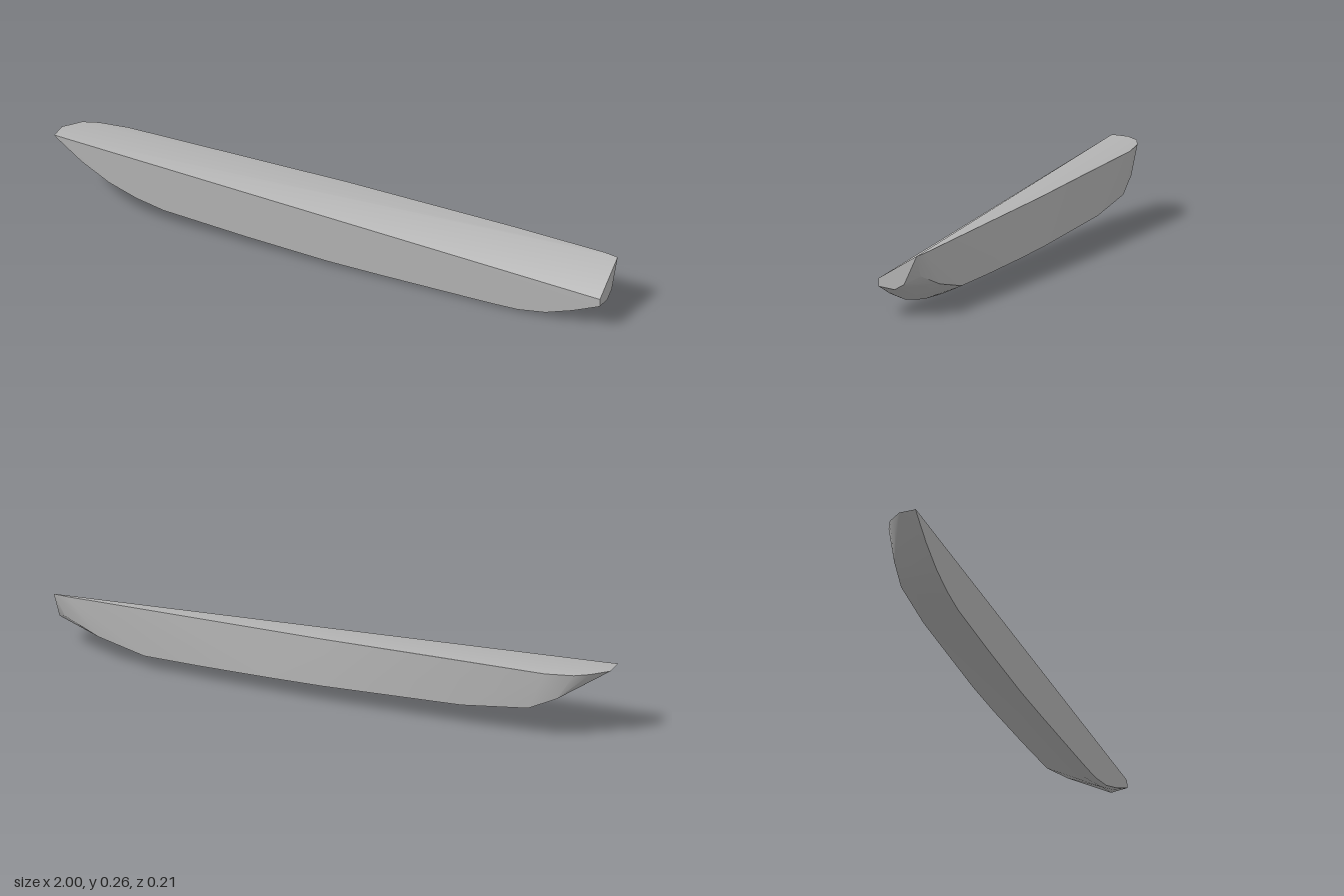
import * as THREE from 'three';
import { toCreasedNormals } from 'three/addons/utils/BufferGeometryUtils.js';
import { ConvexGeometry } from 'three/addons/geometries/ConvexGeometry.js';

export function createModel() {
  const model = new THREE.Group();
  model.name = 'hull';
  const grey = new THREE.MeshStandardMaterial({ color: 0xb2b2b2 });
  grey.name = 'grey';

  // The front side is almost a flat plane, slightly turned about y
  const frontZ = (x) => 0.077 - 0.0275 * x;
  const points = [];
  const add = (rows) => rows.forEach(([x, y, z]) => points.push(new THREE.Vector3(x, y, z)));

  // Upper front edge
  add([[-1, 0.265, 0.105], [1, 0.13, 0.049]]);

  // Lower front edge, with a small rounded bilge inside it
  const keel = [
    [-0.99, 0.25], [-0.9, 0.18], [-0.8, 0.122], [-0.7, 0.085], [-0.6, 0.062], [-0.3, 0.036],
    [0, 0.016], [0.2, 0.011], [0.6, 0.005], [0.7, 0.006], [0.8, 0.021], [0.9, 0.055], [1, 0.098],
  ];
  for (const [x, y] of keel) {
    add([[x, y + 0.004, frontZ(x)]]);
    if (x > -0.9 && x < 0.95) add([[x, y, frontZ(x) - 0.015]]);
  }

  // Bottom of the middle
  add([[0.67, 0.001, 0.032], [0.62, 0.014, -0.012], [0.2, 0.022, 0]]);

  // Lower back edge
  add([
    [-0.95, 0.235, 0.01], [-0.84, 0.165, -0.04], [-0.74, 0.117, -0.056], [-0.5, 0.089, -0.073],
    [0.0, 0.072, -0.1], [0.2, 0.067, -0.105], [0.45, 0.06, -0.105], [0.66, 0.056, -0.103],
    [0.83, 0.092, -0.099], [0.96, 0.14, -0.088],
  ]);

  // Upper back edge
  add([
    [-1, 0.263, 0.045], [-0.95, 0.264, -0.01], [-0.9, 0.26, -0.035], [-0.8, 0.256, -0.055],
    [-0.4, 0.249, -0.071], [0, 0.241, -0.088], [0.6, 0.228, -0.097], [0.95, 0.218, -0.098],
  ]);

  // Flat end
  add([[1, 0.095, -0.01], [1, 0.115, -0.045], [1, 0.216, -0.092]]);

  const shell = new THREE.Mesh(toCreasedNormals(new ConvexGeometry(points), 0.6), grey);
  shell.name = 'hullShell';
  model.add(shell);
  return model;
}
